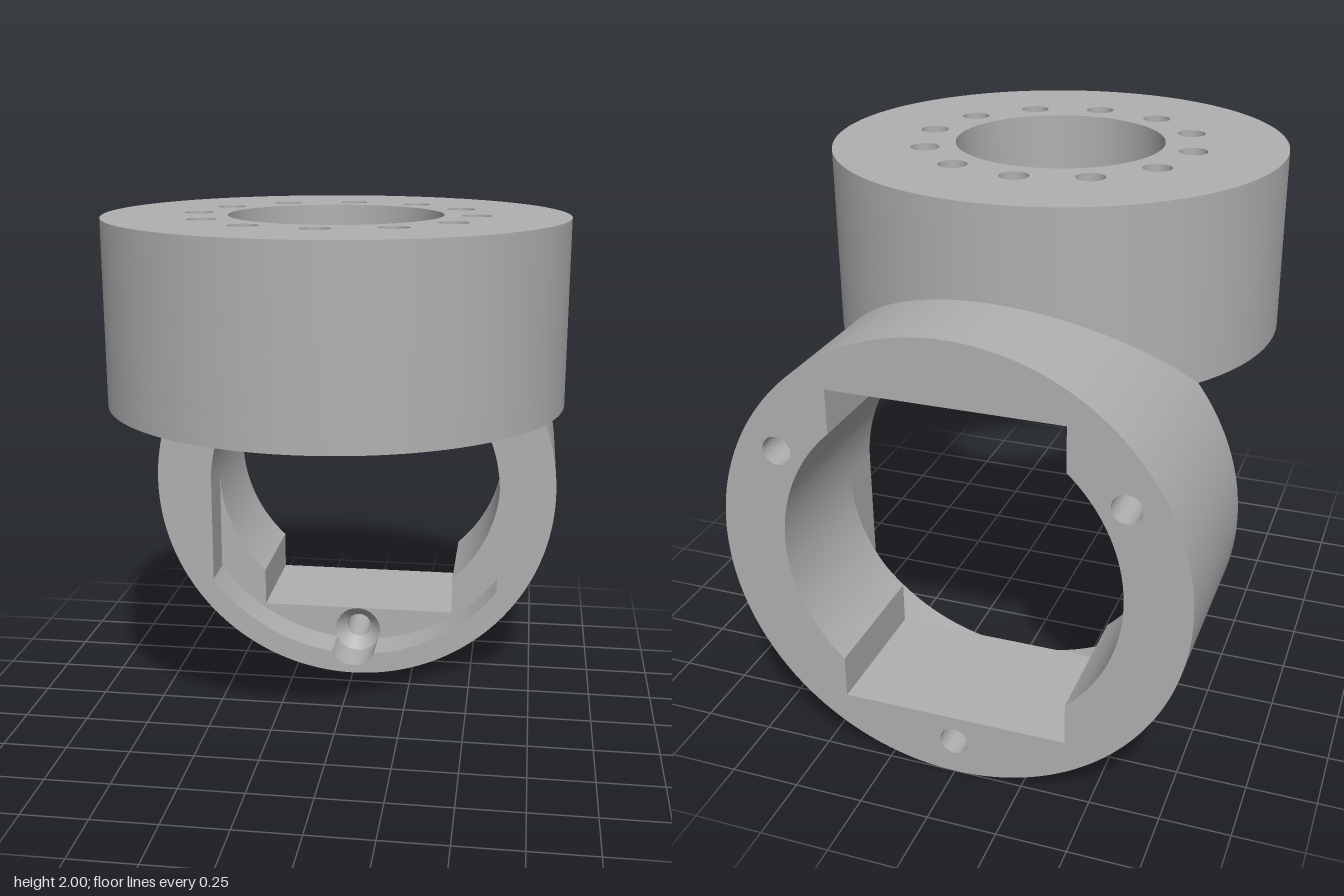
import * as THREE from 'three';
import { toCreasedNormals } from 'three/addons/utils/BufferGeometryUtils.js';

const PI = Math.PI;
const R = 0.833;          // outer radius of both collars
const BORE = 0.604;       // wide bore radius
const SLOT = 0.41;        // half width of the square slot
const HOLE = 0.052, SINK = 0.098;
const SLOT_A = Math.acos(SLOT / BORE);        // angle where slot meets bore
const SLOT_Y = BORE * Math.sin(SLOT_A);
const CUT = 0.5;          // height of the mitre start above the ring centre

const grey = new THREE.MeshStandardMaterial({ color: 0xb0b0b0, side: THREE.DoubleSide });
grey.name = 'grey';

// Extrude a shape between two depths, with smooth curved walls
function layer(shape, from, to) {
  const g = new THREE.ExtrudeGeometry(shape, { depth: to - from, bevelEnabled: false, curveSegments: 64 });
  g.translate(0, 0, from);
  return g;
}

function add(group, name, geometry) {
  const mesh = new THREE.Mesh(toCreasedNormals(geometry, 0.5), grey);
  mesh.name = name;
  group.add(mesh);
  return mesh;
}

function punch(shape, centres, radius) {
  for (const [x, y] of centres) shape.holes.push(new THREE.Path().absarc(x, y, radius, 0, 2 * PI, true));
  return shape;
}

// Conical screw seats, narrow at the far end
function seats(group, centres, wideZ, narrowZ) {
  for (const [x, y] of centres) {
    const g = new THREE.LatheGeometry([new THREE.Vector2(SINK, wideZ), new THREE.Vector2(HOLE, narrowZ)], 40);
    g.rotateX(PI / 2);
    g.translate(x, y, 0);
    const mesh = new THREE.Mesh(g, grey);
    mesh.name = 'screwSeat';
    group.add(mesh);
  }
}

// Lower body of the upright ring, open at the top
function ringShape(pocket) {
  const s = new THREE.Shape();
  const a = Math.asin(CUT / R);
  s.absarc(0, 0, R, a, PI - a, true);
  s.lineTo(-SLOT, CUT);
  if (pocket) {
    const p = 0.743, pa = Math.acos(BORE / p);
    s.absarc(0, 0, BORE, PI - SLOT_A, PI, false);
    s.absarc(0, 0, p, PI + pa, 1.5 * PI - 0.124, false);
    s.absarc(0, -0.7, SINK, PI + 0.39, 2 * PI - 0.39, false);
    s.absarc(0, 0, p, 1.5 * PI + 0.124, 2 * PI - pa, false);
    s.absarc(0, 0, BORE, 0, SLOT_A, false);
  } else {
    s.absarc(0, 0, BORE, PI - SLOT_A, PI + SLOT_A, false);
    s.lineTo(-SLOT, -0.6);
    s.lineTo(SLOT, -0.6);
    s.absarc(0, 0, BORE, -SLOT_A, SLOT_A, false);
  }
  s.lineTo(SLOT, CUT);
  s.closePath();
  return s;
}

function uprightRing() {
  const g = new THREE.Group();
  g.name = 'uprightRing';
  g.position.y = 0.833;
  const screws = [PI / 6, 5 * PI / 6, 1.5 * PI].map(a => [0.7 * Math.cos(a), 0.7 * Math.sin(a)]);
  add(g, 'ringBack', layer(punch(ringShape(false), screws, HOLE), -1, -0.55));
  add(g, 'ringMiddle', layer(punch(ringShape(false), screws, SINK), -0.55, -0.5));
  add(g, 'ringFront', layer(punch(ringShape(true), screws.slice(0, 2), SINK), -0.5, -0.333));
  seats(g, screws, -0.5, -0.55);

  // Arch over the slot, its front cut at 45 degrees to meet the flat collar
  const arch = new THREE.Shape();
  const a = Math.asin(CUT / R);
  arch.absarc(0, 0, R, a, PI - a, false);
  arch.lineTo(-SLOT, CUT);
  arch.lineTo(-SLOT, BORE);
  arch.lineTo(SLOT, BORE);
  arch.lineTo(SLOT, CUT);
  arch.closePath();
  const geo = layer(arch, -1, -0.333);
  const pos = geo.attributes.position;
  for (let i = 0; i < pos.count; i++) {
    if (pos.getZ(i) > -0.5) pos.setZ(i, 0.167 - pos.getY(i));
  }
  add(g, 'ringArch', geo);
  return g;
}

function disc(inner) {
  const s = new THREE.Shape();
  s.absarc(0, 0, R, 0, 2 * PI, false);
  return punch(s, [[0, 0]], inner);
}

function flatCollar() {
  const g = new THREE.Group();
  g.name = 'flatCollar';
  g.rotation.x = -PI / 2;   // depth becomes height
  g.position.z = 0.167;
  const bolts = Array.from({ length: 12 }, (_, i) => [0.5 * Math.cos(i * PI / 6), 0.5 * Math.sin(i * PI / 6)]);

  // Bottom band, notched at the back where the slot runs through
  const band = new THREE.Shape();
  const b = Math.asin(SLOT / R);
  band.absarc(0, 0, R, PI / 2 - b, PI / 2 + b, true);
  band.lineTo(-SLOT, SLOT_Y);
  band.absarc(0, 0, BORE, PI - SLOT_A, 2 * PI + SLOT_A, false);
  band.closePath();
  add(g, 'collarNotchedBand', layer(band, 1.333, 1.437));
  add(g, 'collarWall', layer(disc(BORE), 1.437, 1.667));
  add(g, 'collarSeatLayer', layer(punch(disc(0.385), bolts, SINK), 1.667, 1.715));
  add(g, 'collarTop', layer(punch(disc(0.385), bolts, HOLE), 1.715, 2));
  seats(g, bolts, 1.667, 1.715);
  return g;
}

export function createModel() {
  const model = new THREE.Group();
  model.name = 'angleBracket';
  model.add(uprightRing(), flatCollar());
  return model;
}
